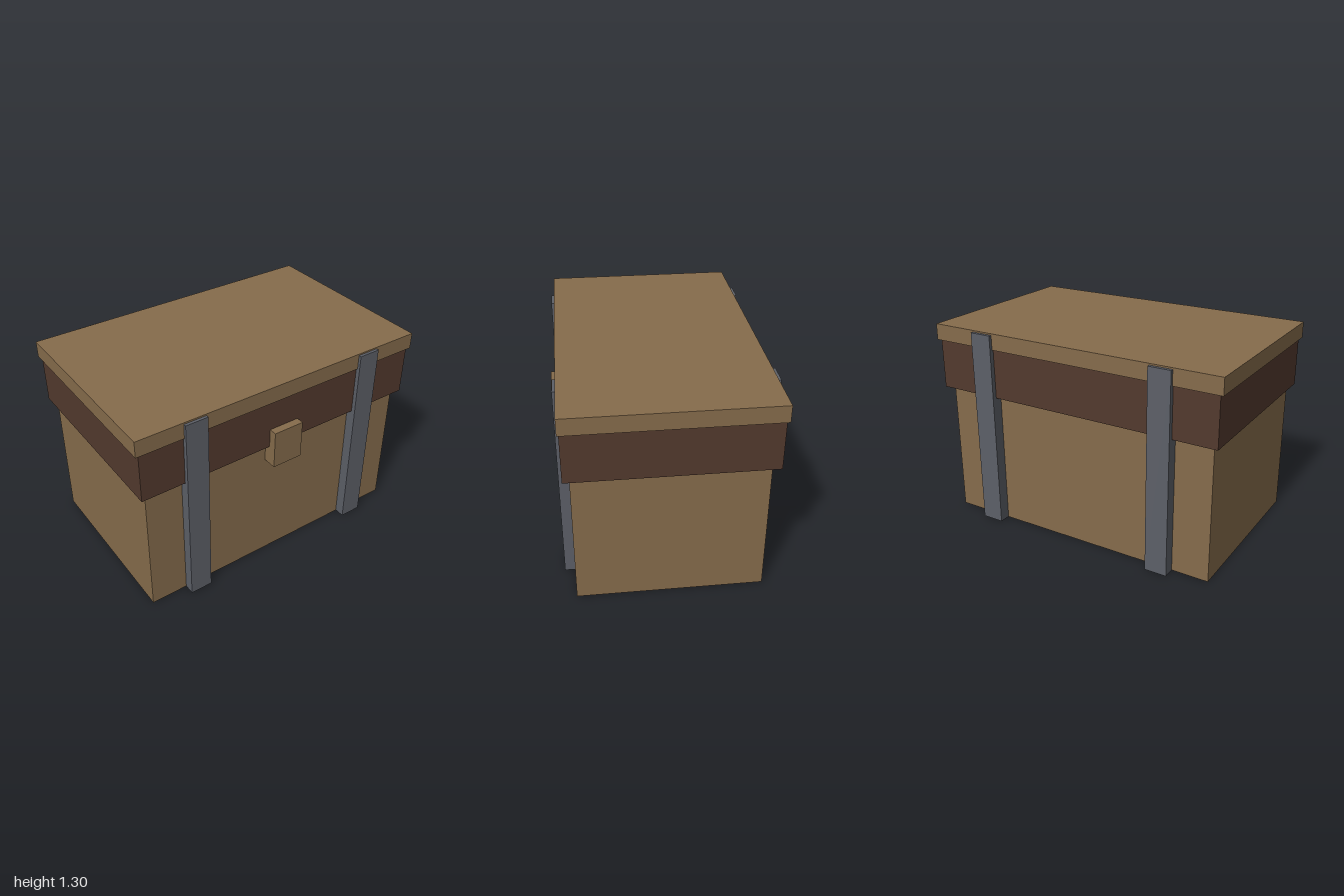
import * as THREE from 'three';

export function createModel() {
  const group = new THREE.Group();
  group.name = 'chest';

  const material = (name, color) => {
    const m = new THREE.MeshStandardMaterial({ color });
    m.name = name;
    return m;
  };
  const lightWood = material('lightWood', 0x866c4c);
  const darkWood = material('darkWood', 0x533a2e);
  const iron = material('iron', 0x5d6068);

  // Box given by its [min, max] extent on each axis
  const addBox = (name, mat, [x0, x1], [y0, y1], [z0, z1]) => {
    const mesh = new THREE.Mesh(new THREE.BoxGeometry(x1 - x0, y1 - y0, z1 - z0), mat);
    mesh.position.set((x0 + x1) / 2, (y0 + y1) / 2, (z0 + z1) / 2);
    mesh.name = name;
    group.add(mesh);
  };

  // Chest body, overhanging lid band and lid board
  addBox('body', lightWood, [-0.94, 0.935], [0.001, 0.9], [-0.58, 0.565]);
  addBox('lidBand', darkWood, [-0.98, 0.975], [0.88, 1.2], [-0.625, 0.605]);
  addBox('lidTop', lightWood, [-1, 1], [1.2, 1.305], [-0.635, 0.615]);

  // Iron straps pass under the chest; the left one sits just inside its floor
  addBox('rightStrap', iron, [-0.7, -0.555], [0, 1.295], [-0.655, 0.633]);
  addBox('leftStrap', iron, [0.55, 0.695], [0.002, 1.295], [-0.655, 0.633]);

  // Front latch
  addBox('latch', lightWood, [-0.105, 0.1], [0.755, 1.005], [0.56, 0.655]);

  return group;
}
